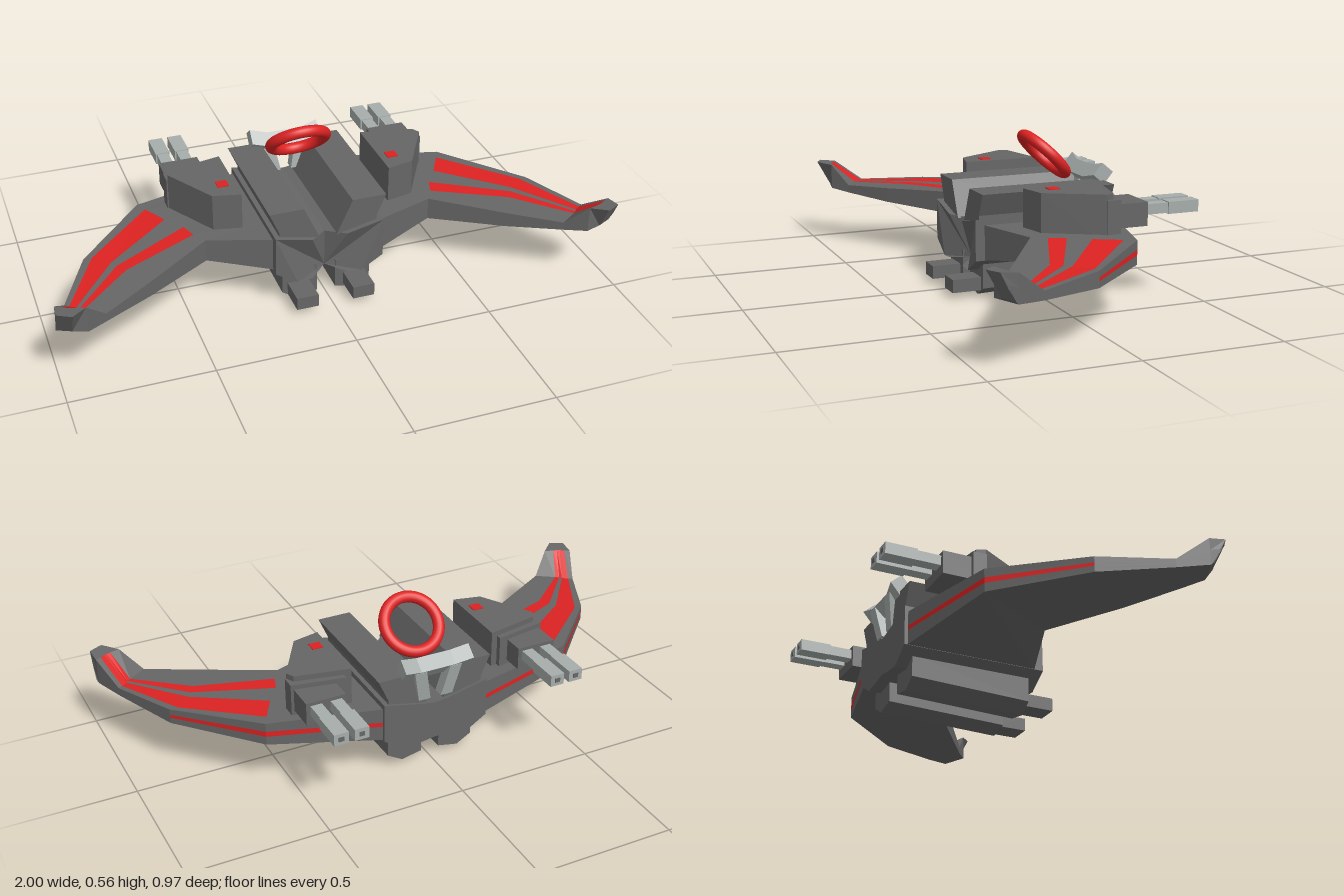
import * as THREE from 'three';

const dark = new THREE.MeshStandardMaterial({ color: 0x666666 });
dark.name = 'dark grey hull';
const red = new THREE.MeshStandardMaterial({ color: 0xdd2222 });
red.name = 'red marking';
const light = new THREE.MeshStandardMaterial({ color: 0xa6adab });
light.name = 'light grey metal';

export function createModel() {
  const model = new THREE.Group();

  function add(name, geo, mat) {
    const mesh = new THREE.Mesh(geo, mat);
    mesh.name = name;
    model.add(mesh);
  }
  // flat-shaded part on the left (+x) and its mirror on the right
  function both(name, source, mat) {
    const geo = source.index ? source.toNonIndexed() : source;
    geo.computeVertexNormals();
    add(name + 'Left', geo, mat);
    const mirror = geo.clone();
    const from = geo.attributes.position;
    const to = mirror.attributes.position;
    for (let i = 0; i < from.count; i += 3) {
      [0, 2, 1].forEach((k, j) => to.setXYZ(i + j, -from.getX(i + k), from.getY(i + k), from.getZ(i + k)));
    }
    mirror.computeVertexNormals();
    add(name + 'Right', mirror, mat);
  }
  const shape = (pts) => new THREE.Shape(pts.map(([x, y]) => new THREE.Vector2(x, y)));
  const extrude = (pts, depth) =>
    new THREE.ExtrudeGeometry(shape(pts), { depth, bevelEnabled: false });
  // front section (x, y) running from z0 to z1
  const prism = (pts, z0, z1) => extrude(pts, z1 - z0).translate(0, 0, z0);
  // plan outline (x, z) raised from y0 to y1
  const slab = (pts, y0, y1) =>
    extrude(pts.map(([x, z]) => [x, -z]), y1 - y0).rotateX(-Math.PI / 2).translate(0, y0, 0);
  const box = (x0, x1, y0, y1, z0, z1) =>
    new THREE.BoxGeometry(x1 - x0, y1 - y0, z1 - z0)
      .translate((x0 + x1) / 2, (y0 + y1) / 2, (z0 + z1) / 2);
  // move vertices by a rule
  function reshape(geo, rule) {
    const p = geo.attributes.position;
    const v = new THREE.Vector3();
    for (let i = 0; i < p.count; i++) {
      rule(v.fromBufferAttribute(p, i));
      p.setXYZ(i, v.x, v.y, v.z);
    }
    return geo;
  }

  // central hull with a notch in its nose
  const hull = prism([[0, 0.25], [0.065, 0.26], [0.2, 0.29], [0.2, 0.145], [0.12, 0.095], [0.065, 0.1], [0, 0.11]], -0.3, 0.23);
  both('hull', reshape(hull, (v) => { if (v.z > 0 && v.x < 0.01) v.z -= 0.06; }), dark);

  // raised shoulders either side of the valley
  both('shoulder', prism([[0.215, 0.38], [0.09, 0.38], [0.03, 0.25], [0.18, 0.27], [0.18, 0.3]], -0.29, 0.21), dark);

  // engine keels below the hull with short front nozzles
  const keel = prism([[0.165, 0.13], [0.165, 0.035], [0.11, 0.003], [0.035, 0.018], [0.035, 0.13]], -0.255, 0.19);
  both('keel', reshape(keel, (v) => { if (v.z < 0 && v.y < 0.1) v.y += 0.015; }), dark);
  both('nozzle', box(0.065, 0.145, 0.025, 0.072, 0.18, 0.295), dark);

  // wings: stations from root to tip, each with top points from back to front,
  // top y, bottom y, stripe half height and forward pull of the underside
  const stations = [
    { top: [[0.19, -0.29], [0.19, -0.2], [0.19, -0.1], [0.19, 0], [0.19, 0.08], [0.19, 0.2]], y: 0.27, b: 0.145, h: 0.008 },
    { top: [[0.59, -0.19], [0.57, -0.15], [0.52, -0.06], [0.47, 0.01], [0.45, 0.07], [0.42, 0.12]], y: 0.268, b: 0.185, h: 0.01 },
    { top: [[0.84, 0.07], [0.81, 0.07], [0.755, 0.12], [0.74, 0.145], [0.715, 0.18], [0.66, 0.28]], y: 0.25, b: 0.195, h: 0.006 },
    { top: [[0.95, 0.3], [0.935, 0.31], [0.915, 0.325], [0.908, 0.335], [0.895, 0.345], [0.83, 0.39]], y: 0.24, b: 0.21, h: 0.005 },
    { top: [[0.995, 0.4], [0.975, 0.41], [0.96, 0.42], [0.95, 0.425], [0.935, 0.43], [0.9, 0.44]], y: 0.315, b: 0.22, h: 0.005 },
    { top: [[1, 0.46], [0.985, 0.467], [0.975, 0.472], [0.965, 0.477], [0.96, 0.482], [0.95, 0.485]], y: 0.322, b: 0.23, h: 0.005, dz: 0.05 },
  ];
  const rings = stations.map(({ top, y, b, h, dz = 0 }) => {
    const [back, front] = [top[0], top[5]];
    const mid = (y + b) / 2;
    return [
      ...top.map(([x, z]) => [x, y, z]),
      [front[0], b, front[1] - dz], [back[0], b, back[1] - dz],
      [back[0], mid - h, back[1] - dz / 2], [back[0], mid + h, back[1] - dz / 2],
    ];
  });
  const faces = { dark: [], red: [] };
  const isRed = (i, j) =>
    (j === 8 && i < 2) || ((j === 1 || j === 3) && (i === 1 || i === 2)) || (i === 3 && j >= 1 && j <= 3);
  for (let i = 0; i < rings.length - 1; i++) {
    for (let j = 0; j < 10; j++) {
      const k = (j + 1) % 10;
      const [a, b, c, d] = [rings[i][j], rings[i][k], rings[i + 1][k], rings[i + 1][j]];
      faces[isRed(i, j) ? 'red' : 'dark'].push(...a, ...b, ...c, ...a, ...c, ...d);
    }
  }
  const tip = rings[rings.length - 1];
  for (let j = 1; j < 9; j++) faces.dark.push(...tip[0], ...tip[j], ...tip[j + 1]);
  const fromFaces = (list) =>
    new THREE.BufferGeometry().setAttribute('position', new THREE.Float32BufferAttribute(list, 3));
  both('wing', fromFaces(faces.dark), dark);
  both('wingMarkings', fromFaces(faces.red), red);

  // gun pods on the wing roots
  both('gunPod', slab([[0.275, -0.2], [0.275, 0.085], [0.375, 0.062], [0.485, -0.13], [0.47, -0.16]], 0.24, 0.405), dark);
  both('podMarking', box(0.3, 0.34, 0.4, 0.408, -0.025, 0.015), red);
  both('mountPlate', slab([[0.3, -0.215], [0.3, -0.16], [0.49, -0.13], [0.49, -0.18]], 0.25, 0.385), dark);
  both('gunMount', box(0.335, 0.48, 0.285, 0.368, -0.285, -0.15), dark);

  // twin barrels, wider at the muzzle
  for (const x of [0.371, 0.444]) {
    both('barrel', box(x - 0.021, x + 0.021, 0.32, 0.356, -0.38, -0.27), light);
    both('muzzle', box(x - 0.026, x + 0.026, 0.317, 0.359, -0.485, -0.37), light);
    both('bore', box(x - 0.01, x + 0.01, 0.33, 0.346, -0.487, -0.48), dark);
  }

  // rear spoiler bar, dipped in the middle, on two splayed legs
  const bar = new THREE.BoxGeometry(0.26, 0.055, 0.055, 4, 1, 1)
    .rotateX(-0.7).translate(0, 0.405, -0.288);
  reshape(bar, (v) => { if (Math.abs(v.x) < 0.07) { v.y -= 0.015; v.z += 0.012; } });
  const flatBar = bar.toNonIndexed();
  flatBar.computeVertexNormals();
  add('spoilerBar', flatBar, light);
  const leg = box(0.045, 0.09, 0.27, 0.39, -0.315, -0.275);
  both('spoilerLeg', reshape(leg, (v) => { if (v.y < 0.3) { v.x -= 0.025; v.z += 0.02; } }), light);

  // tilted ring above the valley
  add('ring', new THREE.TorusGeometry(0.101, 0.021, 16, 48)
    .rotateX(Math.PI / 4).translate(0, 0.467, -0.112), red);

  return model;
}
